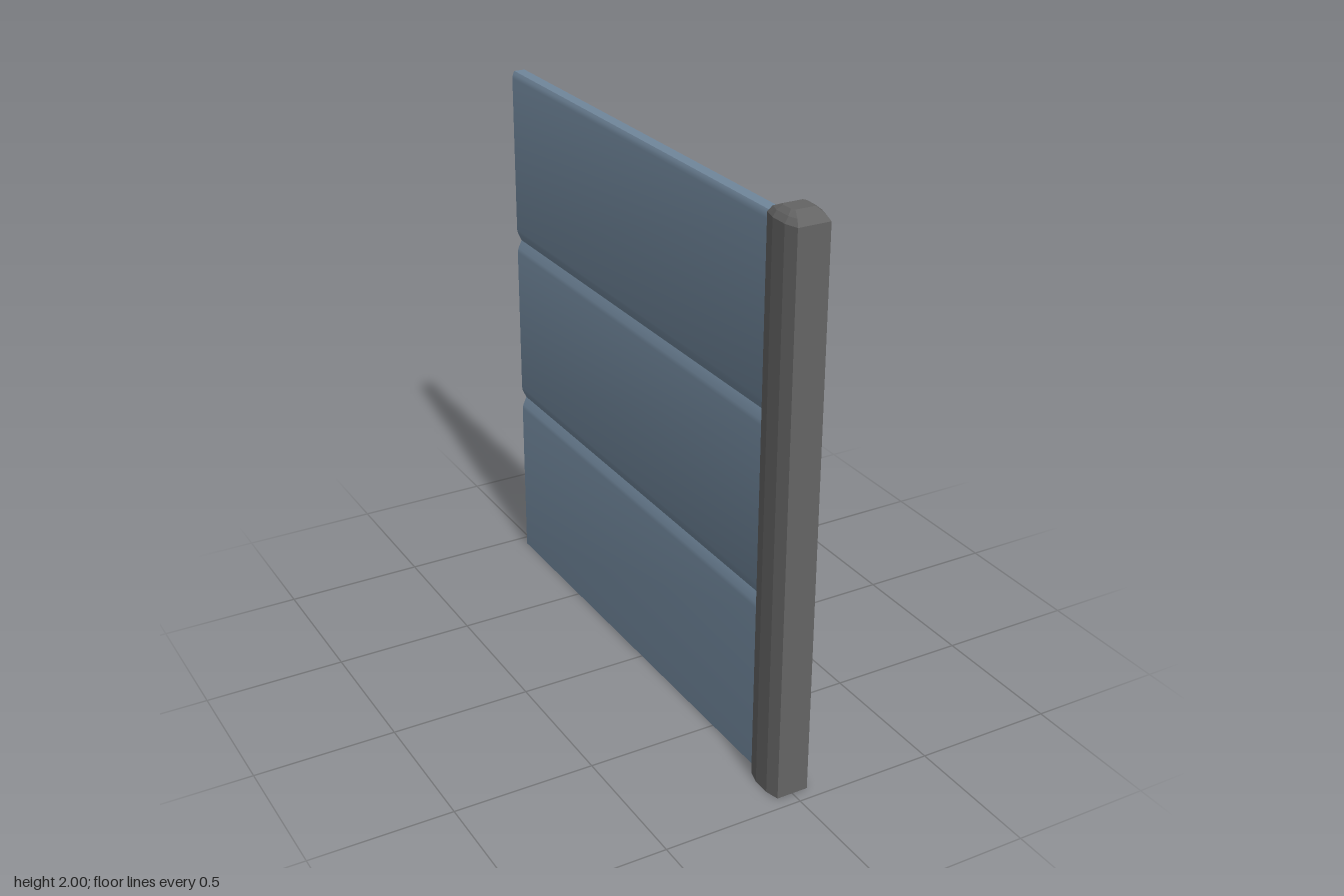
import * as THREE from 'three';
import { toCreasedNormals } from 'three/addons/utils/BufferGeometryUtils.js';

// Loft closed rings (counter-clockwise seen from above) upwards, with end caps
function loft(rings) {
  const n = rings[0].length, pos = rings.flat(2), idx = [];
  for (let r = 0; r < rings.length - 1; r++) {
    for (let i = 0; i < n; i++) {
      const a = r * n + i, b = r * n + (i + 1) % n;
      idx.push(a, b, b + n, a, b + n, a + n);
    }
  }
  const top = (rings.length - 1) * n;
  for (let i = 1; i < n - 1; i++) {
    idx.push(0, i + 1, i);
    idx.push(top, top + i, top + i + 1);
  }
  const g = new THREE.BufferGeometry();
  g.setAttribute('position', new THREE.Float32BufferAttribute(pos, 3));
  g.setIndex(idx);
  const flat = g.toNonIndexed();
  flat.computeVertexNormals();
  return flat;
}

// Eight-sided post section: half width, flat-end half width, front and back z, side z range
function section(y, w, e, front, back, sideFront, sideBack) {
  return [
    [-e, y, front], [e, y, front], [w, y, sideFront], [w, y, sideBack],
    [e, y, back], [-e, y, back], [-w, y, sideBack], [-w, y, sideFront],
  ];
}

export function createModel() {
  const group = new THREE.Group();

  // Post with a chamfered cap
  const postMat = new THREE.MeshStandardMaterial({ color: 0x646464, flatShading: true });
  const post = new THREE.Mesh(loft([
    section(0, 0.07, 0.057, 0.953, 0.793, 0.905, 0.842),
    section(1.965, 0.07, 0.057, 0.953, 0.793, 0.905, 0.842),
    section(1.985, 0.057, 0.047, 0.935, 0.805, 0.903, 0.842),
    section(2, 0.04, 0.034, 0.903, 0.838, 0.89, 0.85),
  ]), postMat);
  post.name = 'post';
  group.add(post);

  // Panel profile: three boards separated by V grooves with softened lips
  const boardHeight = 0.65, half = 0.029;
  const side = [[half, 0]];
  for (let i = 1; i < 3; i++) {
    const y = i * boardHeight;
    side.push([half, y - 0.045], [half - 0.003, y - 0.03], [0.012, y],
      [half - 0.003, y + 0.03], [half, y + 0.045]);
  }
  side.push([half, 1.925], [half - 0.003, 1.94], [half - 0.009, 1.95]);
  const outline = [...side, ...side.slice().reverse().map(([x, y]) => [-x, y])];
  const shape = new THREE.Shape(outline.map(([x, y]) => new THREE.Vector2(x, y)));

  // Boarded panel running back from the post
  const panelGeo = new THREE.ExtrudeGeometry(shape, { depth: 1.763, bevelEnabled: false });
  panelGeo.translate(0, 0, -0.953);
  const panel = new THREE.Mesh(toCreasedNormals(panelGeo, 0.6),
    new THREE.MeshStandardMaterial({ color: 0x70869b }));
  panel.name = 'boardedPanel';
  group.add(panel);

  return group;
}
